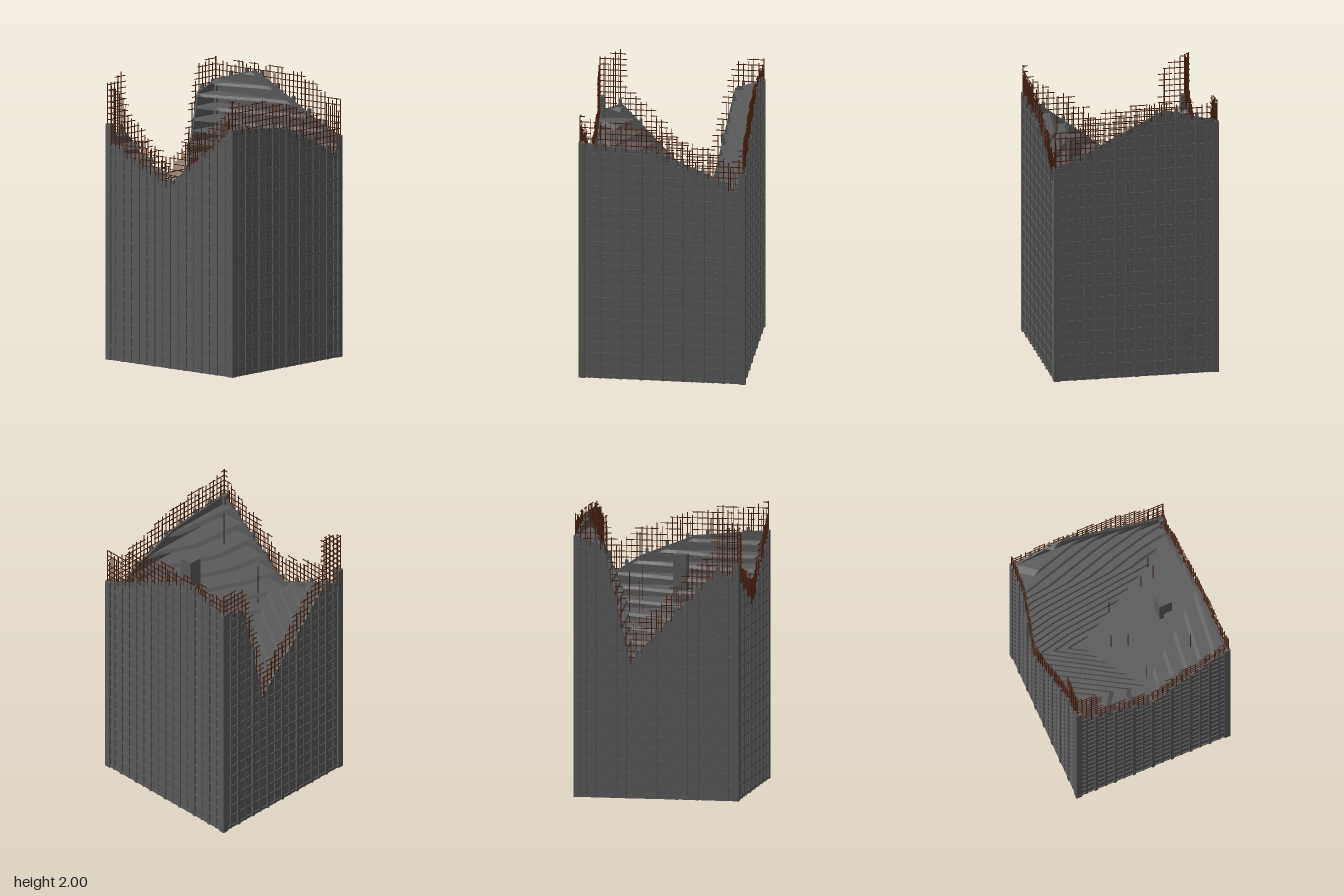
import * as THREE from 'three';
import { mergeGeometries } from 'three/addons/utils/BufferGeometryUtils.js';

// Corner points of the broken top: [x, height, z]
const V = {
  BL: [-0.57, 1.535, -0.57], B1: [-0.42, 1.6, -0.57], V: [0.19, 0.95, -0.57], R: [0.37, 1.75, -0.57],
  BR: [0.57, 1.82, -0.57], E: [0.57, 1.92, -0.2], F: [0.57, 1.6, 0.43], FR: [0.57, 1.55, 0.57],
  G: [0.5, 1.42, 0.57], H: [0.33, 1.53, 0.57], I: [-0.05, 1.68, 0.57], FL: [-0.57, 1.73, 0.57],
  L: [-0.57, 1.28, -0.02], K: [-0.43, 1.25, 0], P: [0.21, 0.68, -0.21], D: [0.39, 1.25, 0.39],
};
const TRIS = ('BL L K,BL K B1,B1 K V,K P V,L FL K,FL I K,K I D,I H D,H G D,K D P,P D R,P R V,' +
  'D E R,R E BR,D F E,D FR F,D G FR').split(',').map((t) => t.split(' ').map((n) => V[n]));

const PITCH = 0.082, BASE = 0.018, SLAB = 0.02, HALF = 0.57, BAY = 0.07125;

// Height of the broken top at (x, z)
function heightAt(x, z) {
  x = Math.max(-HALF, Math.min(HALF, x));
  z = Math.max(-HALF, Math.min(HALF, z));
  for (const [a, b, c] of TRIS) {
    const d = (b[2] - c[2]) * (a[0] - c[0]) + (c[0] - b[0]) * (a[2] - c[2]);
    const u = ((b[2] - c[2]) * (x - c[0]) + (c[0] - b[0]) * (z - c[2])) / d;
    const v = ((c[2] - a[2]) * (x - c[0]) + (a[0] - c[0]) * (z - c[2])) / d;
    const w = 1 - u - v;
    if (u > -1e-6 && v > -1e-6 && w > -1e-6) return u * a[1] + v * b[1] + w * c[1];
  }
  return 1.5;
}

// Keep the part of a polygon above (sign 1) or below (sign -1) a level
function clip(poly, level, sign) {
  const out = [];
  poly.forEach((p, i) => {
    const q = poly[(i + 1) % poly.length];
    const dp = (p[1] - level) * sign, dq = (q[1] - level) * sign;
    if (dp >= 0) out.push(p);
    if (dp * dq < 0) {
      const t = dp / (dp - dq);
      out.push(p.map((v, k) => v + (q[k] - v) * t));
    }
  });
  return out;
}

function box(w, h, d, x, y, z) {
  return new THREE.BoxGeometry(w, h, d).translate(x, y, z).toNonIndexed();
}

let seed = 7;
const rand = () => (seed = (seed * 16807) % 2147483647) / 2147483647;

export function createModel() {
  const group = new THREE.Group();
  const concrete = new THREE.MeshStandardMaterial({ color: 0x5a5a5a, side: THREE.DoubleSide });
  concrete.name = 'concrete grey';
  const rust = new THREE.MeshStandardMaterial({ color: 0x4a2210 });
  rust.name = 'rust brown';
  const add = (name, geometry, material, parent = group) => {
    const mesh = new THREE.Mesh(geometry, material);
    mesh.name = name;
    parent.add(mesh);
    return mesh;
  };

  // Floor slabs, each broken off along the sloping surface
  const pos = [];
  const fan = (poly, flatY, flip) => {
    const pts = poly.map((p) => [p[0], flatY ?? p[1], p[2]]);
    for (let i = 1; i + 1 < pts.length; i++) {
      const [b, c] = flip ? [pts[i + 1], pts[i]] : [pts[i], pts[i + 1]];
      pos.push(...pts[0], ...b, ...c);
    }
  };
  for (let k = 8; k < 24; k++) {
    const top = BASE + k * PITCH, bottom = top - SLAB;
    for (const [a, b, c] of TRIS) {
      const up = (b[2] - a[2]) * (c[0] - a[0]) - (b[0] - a[0]) * (c[2] - a[2]) > 0;
      const tri = up ? [a, b, c] : [a, c, b];
      fan(clip(tri, top, 1), top, false);
      fan(clip(tri, bottom, 1), bottom, true);
      fan(clip(clip(tri, bottom, 1), top, -1), undefined, false);
    }
  }
  const slabs = new THREE.BufferGeometry();
  slabs.setAttribute('position', new THREE.Float32BufferAttribute(pos, 3));
  slabs.computeVertexNormals();
  add('floorSlabs', slabs, concrete);
  add('baseSlab', box(1.14, 0.018, 1.14, 0, 0.009, 0), concrete);

  // Four facades, built facing +z and turned into place
  ['front', 'right', 'back', 'left'].forEach((side, s) => {
    const facade = new THREE.Group();
    facade.name = side + 'Facade';
    facade.rotation.y = (s * Math.PI) / 2;
    group.add(facade);
    const co = Math.round(Math.cos(facade.rotation.y)), si = Math.round(Math.sin(facade.rotation.y));
    const at = (u) => [u * co + HALF * si, -u * si + HALF * co];
    const h = (u) => heightAt(...at(u));

    // Wall with a broken top edge
    const shape = new THREE.Shape();
    shape.moveTo(HALF, 0);
    shape.lineTo(HALF, h(HALF));
    for (let i = 113; i >= 0; i--) shape.lineTo(-HALF + i * 0.01, h(-HALF + i * 0.01));
    shape.lineTo(-HALF, 0);
    const wall = new THREE.ExtrudeGeometry(shape, { depth: 0.015, bevelEnabled: false });
    add('wall', wall.translate(0, 0, 0.553), concrete, facade);

    // Mullions, with a deeper pilaster at every second one, and sills
    const frame = [];
    for (let i = -7; i <= 7; i++) {
      const u = i * BAY, deep = i % 2 === 0;
      const top = h(u) + (deep ? 0.03 : 0);
      frame.push(box(deep ? 0.02 : 0.013, top, deep ? 0.022 : 0.012, u, top / 2, deep ? 0.568 : 0.569));
    }
    for (let i = -8; i < 8; i++) {
      const u = (i + 0.5) * BAY;
      const low = Math.min(h(u - BAY / 2), h(u + BAY / 2), h(u));
      for (let y = BASE; y < low; y += PITCH) frame.push(box(BAY, 0.014, 0.012, u, y, 0.569));
    }
    add('windowGrid', mergeGeometries(frame), concrete, facade);

    // Bare reinforcement mesh standing above the wall
    const bars = [], step = BAY / 2, tops = [];
    const reach = (u) => {
      const [x, z] = at(u);
      const extra = x < -0.4 && z < -0.4 ? 0.4 : s === 1 ? 0.25 : 0.2;
      return Math.min(x < -0.4 && z < -0.4 ? 1.997 : 1.975, h(u) + extra);
    };
    for (let i = 0; i <= 32; i++) {
      const u = -HALF + i * step;
      const low = h(u) - 0.03;
      const top = i % 32 === 0 ? reach(u) : reach(u) - 0.06 * rand();
      tops.push(top);
      bars.push(box(0.005, top - low, 0.005, u, (top + low) / 2, 0.568));
      if (rand() < 0.4) {
        const t2 = top - 0.04;
        if (t2 > low) bars.push(box(0.004, t2 - low, 0.004, u + 0.012 * (i < 32 ? 1 : -1), (t2 + low) / 2, 0.56));
      }
    }
    for (let i = 0; i < 32; i++) {
      const u = -HALF + (i + 0.5) * step;
      const top = Math.max(tops[i], tops[i + 1]);
      for (let y = 0.94; y <= 1.996; y += PITCH / 2) {
        if (y < h(u) - 0.01 || y > top || rand() < 0.1) continue;
        const w = step + (i > 0 && i < 31 ? 0.03 * rand() : 0);
        bars.push(box(w, 0.005, 0.005, u, y, 0.565));
      }
    }
    add('reinforcementMesh', mergeGeometries(bars), rust, facade);
  });

  // Corner columns
  for (const sx of [-1, 1]) for (const sz of [-1, 1]) {
    const top = sx < 0 && sz < 0 ? 1.65 : heightAt(sx * HALF, sz * HALF);
    add('cornerColumn', box(0.045, top, 0.045, sx * 0.5575, top / 2, sz * 0.5575), concrete);
  }

  // Shaft and loose rods rising from the broken floors
  add('serviceShaft', box(0.093, 0.6, 0.093, 0, 1.28, 0.325), concrete);
  const rods = [[-0.37, 0.37], [0.37, 0.37], [0.28, 0.28], [0.28, 0.37], [0.28, 0.04], [0.04, -0.05], [-0.37, 0.04], [-0.05, 0.04]]
    .map(([x, z]) => box(0.005, 0.35, 0.005, x, heightAt(x, z) + 0.03, z));
  add('looseRods', mergeGeometries(rods), rust);

  return group;
}
